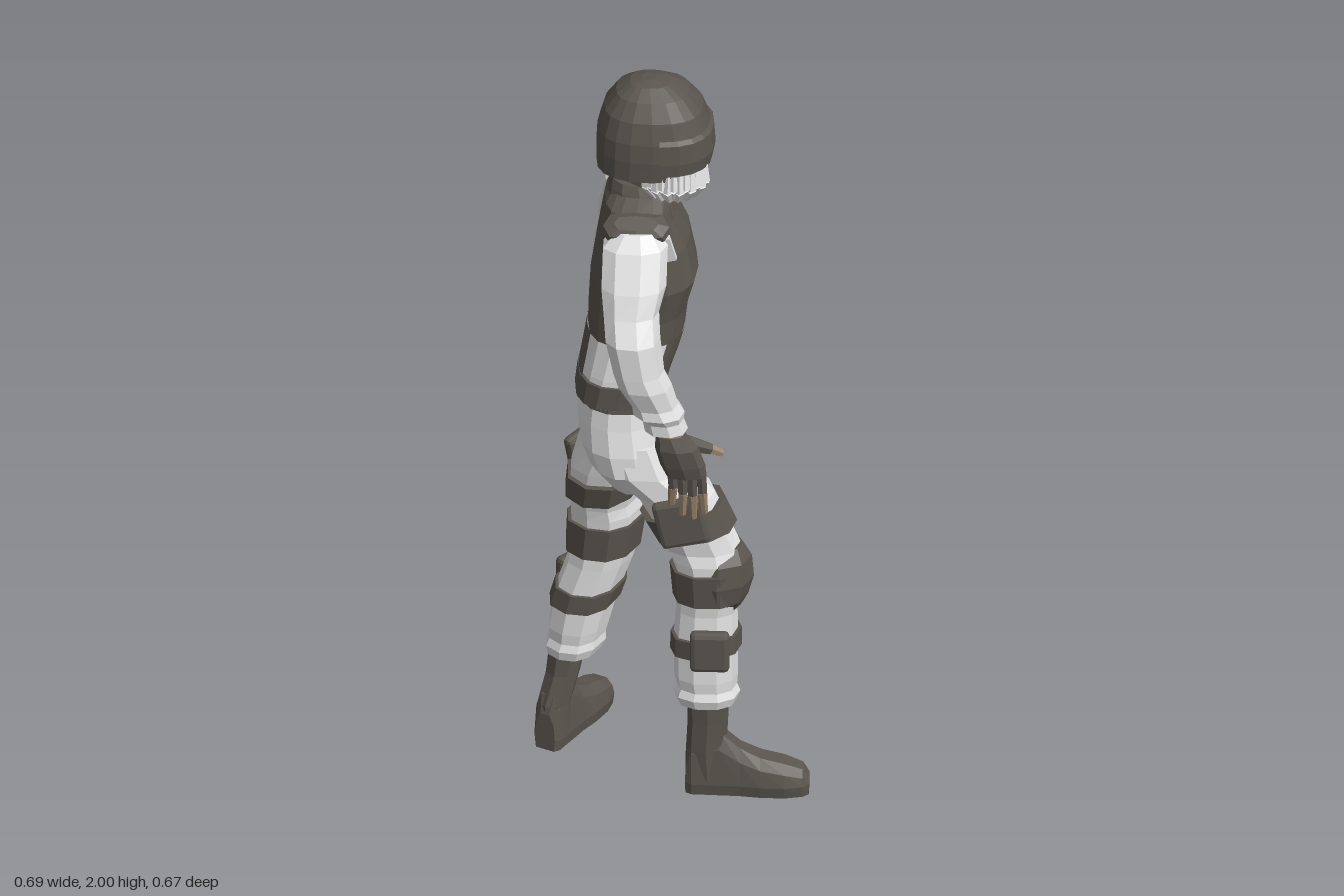
import * as THREE from 'three';
import { RoundedBoxGeometry } from 'three/addons/geometries/RoundedBoxGeometry.js';

const mat = (name, color) => Object.assign(new THREE.MeshStandardMaterial({ color }), { name });
const V = (x, y, z) => new THREE.Vector3(x, y, z);

export function createModel() {
  const model = new THREE.Group();
  model.name = 'armouredFigure';
  const dark = mat('dark gear', 0x5a554e);
  const light = mat('light cloth', 0xe4e4e4);
  const skin = mat('skin', 0x9f8871);

  const add = (name, geo, material, parent = model) => {
    const g = geo.index ? geo.toNonIndexed() : geo;
    g.computeVertexNormals();
    const m = new THREE.Mesh(g, material);
    m.name = name;
    parent.add(m);
    return m;
  };

  // Faceted surface through rings of points; closed rings also get end caps
  function skinRings(rings, closed = true) {
    const pos = [];
    const tri = (a, b, c) => pos.push(...a.toArray(), ...b.toArray(), ...c.toArray());
    const n = rings[0].length, m = closed ? n : n - 1;
    for (let i = 0; i < rings.length - 1; i++)
      for (let j = 0; j < m; j++) {
        const k = (j + 1) % n, A = rings[i], B = rings[i + 1];
        tri(A[j], B[j], A[k]);
        tri(A[k], B[j], B[k]);
      }
    if (closed) {
      const mid = r => r.reduce((s, p) => s.add(p), V(0, 0, 0)).divideScalar(n);
      const A = rings[0], B = rings[rings.length - 1], a = mid(A), b = mid(B);
      for (let j = 0; j < n; j++) {
        const k = (j + 1) % n;
        tri(a, A[j], A[k]);
        tri(b, B[k], B[j]);
      }
    }
    const g = new THREE.BufferGeometry();
    g.setAttribute('position', new THREE.Float32BufferAttribute(pos, 3));
    return g;
  }

  // Stacked sections [x, y, z, forward radius, side radius]; slope lifts their front
  function loft(secs, { n = 10, e = 2.3, turn = 0, from = 0, to = 2 * Math.PI, slope = 0 } = {}) {
    const closed = to - from > 6.28, c = Math.cos(turn), s = Math.sin(turn);
    const pw = v => Math.sign(v) * Math.abs(v) ** (2 / e);
    const rings = [...secs].sort((a, b) => a[1] - b[1]).map(([x, y, z, rf, rs]) =>
      Array.from({ length: closed ? n : n + 1 }, (_, j) => {
        const a = from + (to - from) * j / n;
        const f = pw(Math.cos(a)) * rf, d = pw(Math.sin(a)) * rs;
        return V(x + f * c + d * s, y + f * slope, z - f * s + d * c);
      }));
    return skinRings(rings, closed);
  }
  const grow = (secs, g) => secs.map(([x, y, z, a, b]) => [x, y, z, a + g, b + g]);
  // Section of a limb at height y (sections listed from top to bottom)
  function at(secs, y) {
    const i = Math.max(1, secs.findIndex(s => s[1] <= y));
    const a = secs[i - 1], b = secs[i], t = (y - a[1]) / (b[1] - a[1]);
    return a.map((v, k) => v + (b[k] - v) * t);
  }
  const rod = (name, a, b, r0, r1, material, parent, sides = 6) => {
    const d = b.clone().sub(a);
    const m = add(name, new THREE.CylinderGeometry(r1, r0, d.length(), sides), material, parent);
    m.position.copy(a).addScaledVector(d, 0.5);
    m.quaternion.setFromUnitVectors(V(0, 1, 0), d.normalize());
  };

  // Hips and belt
  const hips = [
    [-0.12, 1.13, 0, 0.1, 0.135], [-0.122, 1.05, 0, 0.108, 0.145], [-0.115, 0.98, 0, 0.112, 0.158],
    [-0.105, 0.92, 0, 0.1, 0.158], [-0.09, 0.85, 0, 0.06, 0.11]];
  add('trouserSeat', loft(hips, { n: 14 }), light);
  add('belt', loft(grow([at(hips, 1.125), at(hips, 1.1)], 0.006), { n: 14 }), dark);

  // Legs: the right one strides forward, the left one is turned outward.
  // pouchTurn is the yaw of the pouches, inset moves them inward, lean is the offset of the boot top
  const legs = [
    { side: 'right', turn: 0, pouchTurn: 0, inset: 0, out: 1, foot: [0.095, 0.092], lean: [0, 0], scale: 1, secs: [
      [-0.09, 1.0, 0.075, 0.1, 0.075], [-0.06, 0.92, 0.08, 0.102, 0.084], [0.012, 0.85, 0.078, 0.1, 0.086],
      [0.062, 0.75, 0.078, 0.094, 0.085], [0.08, 0.7, 0.079, 0.097, 0.077], [0.09, 0.67, 0.082, 0.086, 0.081],
      [0.1, 0.6, 0.085, 0.083, 0.074], [0.092, 0.52, 0.085, 0.076, 0.064], [0.09, 0.44, 0.085, 0.08, 0.067],
      [0.09, 0.33, 0.087, 0.079, 0.065], [0.092, 0.3, 0.087, 0.075, 0.062], [0.092, 0.28, 0.088, 0.083, 0.068],
      [0.092, 0.255, 0.088, 0.074, 0.06]] },
    { side: 'left', turn: 1.09, pouchTurn: 0.78, inset: 0.01, out: -1, foot: [-0.29, -0.118], lean: [0.035, 0.02], scale: 0.95, secs: [
      [-0.12, 1.0, -0.075, 0.08, 0.09], [-0.13, 0.92, -0.085, 0.098, 0.095], [-0.155, 0.82, -0.12, 0.11, 0.09],
      [-0.165, 0.75, -0.138, 0.108, 0.088], [-0.165, 0.7, -0.145, 0.1, 0.08], [-0.165, 0.67, -0.147, 0.096, 0.086],
      [-0.165, 0.6, -0.155, 0.095, 0.084], [-0.18, 0.52, -0.152, 0.092, 0.077], [-0.215, 0.42, -0.15, 0.09, 0.076],
      [-0.233, 0.33, -0.147, 0.084, 0.07], [-0.237, 0.3, -0.147, 0.08, 0.066], [-0.24, 0.28, -0.147, 0.086, 0.07],
      [-0.245, 0.255, -0.145, 0.076, 0.062]] }];
  // Foot sections: [distance ahead of ankle, height, half width]
  const footSecs = [[-0.055, 0.1, 0.03], [-0.04, 0.15, 0.04], [0.03, 0.17, 0.043], [0.08, 0.125, 0.045],
    [0.13, 0.1, 0.052], [0.19, 0.085, 0.053], [0.235, 0.068, 0.042], [0.25, 0.045, 0.028]];
  // Knee pad sections: [height, distance ahead, forward radius, side radius]
  const padSecs = [[0.705, 0.035, 0.05, 0.045], [0.67, 0.025, 0.08, 0.077], [0.61, 0.02, 0.09, 0.084],
    [0.56, 0.02, 0.076, 0.074], [0.525, 0.025, 0.052, 0.04]];

  for (const { side, turn, pouchTurn, inset, out, foot, lean, scale, secs } of legs) {
    const opt = { n: 10, turn }, c = Math.cos(turn), k = Math.sin(turn);
    add(side + 'TrouserLeg', loft(secs, opt), light);
    for (const [part, y0, y1, slope] of [['ThighStrap', 0.745, 0.81, 0.2], ['KneeStrap', 0.555, 0.645, 0], ['ShinStrap', 0.405, 0.455, 0.08]])
      add(side + part, loft(grow([at(secs, y0), at(secs, y1)], 0.009), { ...opt, slope }), dark);
    add(side + 'KneePad', loft(padSecs.map(([y, f, rf, rs]) => {
      const s = at(secs, 0.61);
      return [s[0] + f * c, y, s[2] - f * k, rf, rs];
    }), { n: 8, turn, e: 2 }), dark);

    // Pouches sit on the outer face, at distance o from the leg's axis
    const pouch = (name, size, y, f, o, tilt) => {
      const s = at(secs, y), d = (o - inset) * out, pc = Math.cos(pouchTurn), pk = Math.sin(pouchTurn);
      const m = add(side + name, new RoundedBoxGeometry(...size, 1, 0.012), dark);
      m.position.set(s[0] + f * pc + d * pk, y, s[2] - f * pk + d * pc);
      m.rotation.set(0, pouchTurn, tilt, 'YXZ');
    };
    pouch('ThighPouch', [0.125, 0.13, 0.03], 0.81, 0, 0.09, 0.22);
    pouch('ShinPouch', [0.098, 0.11, 0.034], 0.435, 0.012, 0.078, 0);

    // Boot
    const boot = new THREE.Group();
    boot.name = side + 'Boot';
    boot.position.set(foot[0], 0, foot[1]);
    boot.rotation.y = turn;
    boot.scale.set(scale, 1, scale);
    model.add(boot);
    add(side + 'BootFoot', skinRings(footSecs.map(([x, h, w]) => [
      [h, 0.45], [h * 0.75, 0.85], [0.03, 1], [0, 0.9], [0, -0.9], [0.03, -1], [h * 0.75, -0.85], [h, -0.45]
    ].map(([y, z]) => V(x, y, -z * w)))), dark, boot);
    add(side + 'BootShaft', loft([[lean[0], 0.29, lean[1], 0.053, 0.046], [lean[0] * 0.6, 0.2, lean[1] * 0.6, 0.05, 0.043],
      [-0.004, 0.12, 0, 0.05, 0.042], [0, 0.04, 0, 0.052, 0.042]], { n: 8 }), dark, boot);
  }

  // Torso: shirt below, vest above, with panels leaving the flanks open
  const torso = [
    [-0.075, 1.69, 0.01, 0.068, 0.07], [-0.08, 1.665, 0.005, 0.08, 0.125], [-0.08, 1.625, 0.003, 0.088, 0.16],
    [-0.068, 1.55, 0, 0.112, 0.152], [-0.065, 1.45, 0, 0.13, 0.155], [-0.08, 1.36, 0, 0.12, 0.142],
    [-0.085, 1.29, 0, 0.117, 0.136], [-0.11, 1.19, 0, 0.11, 0.142], [-0.13, 1.11, 0, 0.1, 0.142]];
  const tOpt = { n: 16, e: 2.6 };
  const low = grow([at(torso, 1.3), at(torso, 1.24), at(torso, 1.18), at(torso, 1.11)], 0.005);
  add('shirt', loft(torso.slice(5), tOpt), light);
  add('vest', loft(grow([...torso.slice(0, 6), at(torso, 1.29)], 0.003), tOpt), dark);
  add('vestHem', loft(grow([at(torso, 1.175), at(torso, 1.13), at(torso, 1.115)], 0.008), tOpt), dark);
  add('vestFrontPanel', loft(low, { n: 10, e: 2.6, from: -0.95, to: 0.95 }), dark);
  add('vestBackPanel', loft(low, { n: 6, e: 2.6, from: 2.65, to: 3.63 }), dark);
  for (const s of [1, -1]) {
    // Curved pad from the neck over the shoulder
    const pad = add('shoulderPad', loft([[0, 0.012, 0, 0.055, 0.022], [0, 0, 0, 0.082, 0.04],
      [0, -0.016, 0, 0.088, 0.042]], { n: 8, e: 3 }), dark);
    pad.position.set(-0.08, 1.652, s * 0.147 + 0.004);
    pad.rotation.x = s * 0.5;
    // Strip of sleeve showing in the armhole, beside the chest
    const strip = add('armholeStrip', new THREE.BoxGeometry(0.04, 0.07, 0.016), light);
    strip.position.set(-0.008, 1.585, s * 0.147);
    strip.rotation.set(s * 0.15, 0, 0.25);
  }
  add('collar', loft([[-0.07, 1.64, 0.01, 0.09, 0.085], [-0.074, 1.69, 0.01, 0.08, 0.072],
    [-0.078, 1.715, 0.01, 0.072, 0.062]], { n: 12, slope: -0.12 }), dark);

  // Arms
  const arms = [
    { side: 'right', s: 1, yaw: 0, wrist: [0.006, 1.14, 0.252], secs: [
      [-0.08, 1.645, 0.15, 0.05, 0.04], [-0.083, 1.61, 0.168, 0.082, 0.055], [-0.085, 1.52, 0.212, 0.082, 0.06],
      [-0.09, 1.46, 0.236, 0.07, 0.06], [-0.085, 1.4, 0.262, 0.069, 0.071], [-0.07, 1.31, 0.268, 0.064, 0.065],
      [-0.055, 1.27, 0.266, 0.067, 0.067], [-0.03, 1.21, 0.26, 0.058, 0.056], [-0.02, 1.185, 0.258, 0.064, 0.062],
      [-0.01, 1.165, 0.256, 0.052, 0.05], [-0.002, 1.135, 0.254, 0.054, 0.052]] },
    { side: 'left', s: -1, yaw: 0.25, wrist: [-0.142, 1.125, -0.272], secs: [
      [-0.08, 1.645, -0.14, 0.05, 0.04], [-0.09, 1.61, -0.162, 0.082, 0.055], [-0.108, 1.52, -0.208, 0.082, 0.06],
      [-0.122, 1.46, -0.23, 0.07, 0.06], [-0.133, 1.4, -0.25, 0.07, 0.068], [-0.147, 1.31, -0.257, 0.064, 0.064],
      [-0.147, 1.27, -0.26, 0.067, 0.066], [-0.142, 1.21, -0.262, 0.06, 0.058], [-0.14, 1.185, -0.262, 0.066, 0.062],
      [-0.137, 1.165, -0.264, 0.054, 0.052], [-0.134, 1.135, -0.264, 0.055, 0.052]] }];
  for (const { side, s, yaw, wrist, secs } of arms) {
    add(side + 'Sleeve', loft(secs, { n: 9 }), light);
    // Fingerless glove with bare finger tips
    const hand = new THREE.Group();
    hand.name = side + 'Hand';
    hand.position.set(...wrist);
    hand.rotation.y = yaw;
    model.add(hand);
    add('wrist', loft([[0, 0.03, 0, 0.033, 0.028], [0.005, -0.04, 0, 0.033, 0.026]], { n: 8 }), skin, hand);
    add('glove', loft([[0.004, -0.024, 0, 0.037, 0.03], [0.018, -0.06, 0.004 * s, 0.054, 0.034],
      [0.033, -0.11, 0.002 * s, 0.056, 0.029], [0.042, -0.145, 0, 0.049, 0.022]], { n: 8 }), dark, hand);
    for (let i = 0; i < 4; i++) {
      const a = V(0.007 + i * 0.024, -0.135, 0), drop = [0.08, 0.11, 0.12, 0.105][i];
      const m = a.clone().add(V(0.002, -drop * 0.55, -0.004 * s));
      const b = a.clone().add(V(-0.002 + i * 0.003, -drop - 0.02, -0.018 * s));
      rod('gloveFinger', a, m, 0.014, 0.013, dark, hand);
      rod('fingerTip', m, b, 0.0125, 0.009, skin, hand);
    }
    const t0 = V(0.035, -0.055, -0.012 * s), t1 = V(0.1, -0.086, -0.034 * s), t2 = V(0.128, -0.105, -0.046 * s);
    rod('gloveThumb', t0, t1, 0.023, 0.015, dark, hand);
    rod('thumbTip', t1, t2, 0.013, 0.01, skin, hand);
  }

  // Head: mask, curly hair, helmet and visor
  add('faceMask', loft([[-0.01, 1.82, 0.01, 0.1, 0.09], [0.0, 1.75, 0.01, 0.088, 0.08], [0.015, 1.71, 0.01, 0.07, 0.06],
    [0.02, 1.68, 0.01, 0.045, 0.038]], { n: 12 }), dark);
  add('neck', loft([[-0.03, 1.78, 0.01, 0.075, 0.065], [-0.06, 1.68, 0.01, 0.065, 0.06]], { n: 10 }), dark);
  for (const s of [1, -1])
    for (let i = 0; i < 12; i++) {
      const a = s * (0.6 + i * 0.155), dip = (i % 2) * 0.007;
      const p = (r, y) => V(0.008 + Math.cos(a) * 0.094 * r, y, 0.01 + Math.sin(a) * 0.114 * r);
      rod('hairCurl', p(1, 1.742 - dip), p(0.97, 1.79), 0.015, 0.011, light, model, 5);
      rod('hairCurlEnd', p(0.7, 1.7 - dip), p(1, 1.745 - dip), 0.01, 0.015, light, model, 5);
    }
  const shell = [
    [-0.052, 2.0, 0.01, 0.018, 0.018], [-0.05, 1.992, 0.01, 0.05, 0.046], [-0.045, 1.968, 0.01, 0.09, 0.08],
    [-0.042, 1.925, 0.01, 0.123, 0.108], [-0.04, 1.87, 0.01, 0.141, 0.122], [-0.04, 1.82, 0.01, 0.144, 0.125],
    [-0.045, 1.765, 0.01, 0.139, 0.122]];
  add('helmet', loft(shell, { n: 20, e: 2.5 }), dark);
  const brow = [1.882, 1.872, 1.82, 1.785].map((y, i) => grow([at(shell, y)], i ? 0.007 : 0.001)[0]);
  add('visor', loft(brow, { n: 10, e: 2.5, from: -1.5, to: 1.5 }), dark);

  return model;
}
